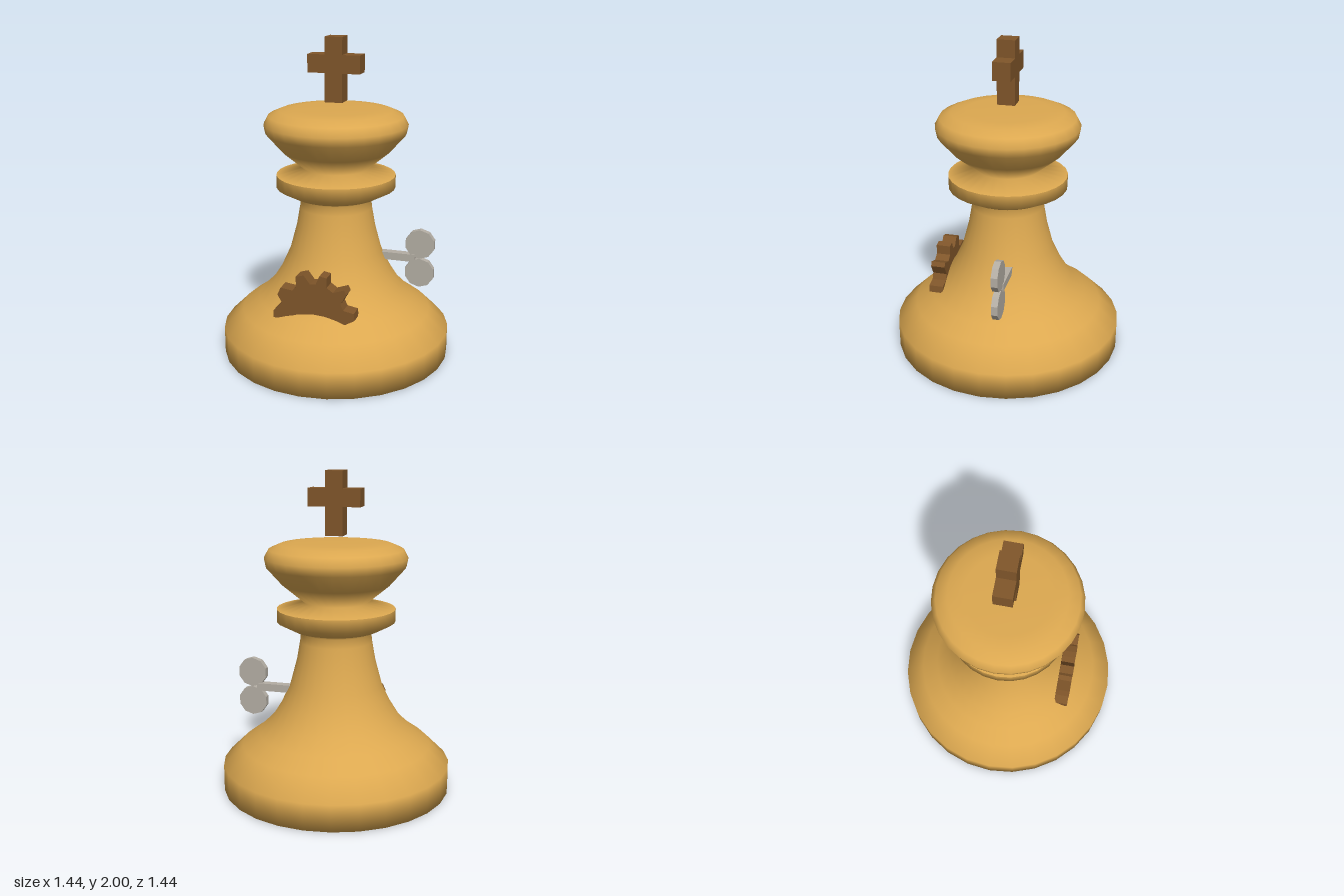
import * as THREE from 'three';

const gold = new THREE.MeshStandardMaterial({ color: 0xdca850 });
const brown = new THREE.MeshStandardMaterial({ color: 0x80562a, flatShading: true });
const steel = new THREE.MeshStandardMaterial({ color: 0xb4aea4, flatShading: true });

function add(parent, name, geometry, material, x = 0, y = 0, z = 0) {
  const mesh = new THREE.Mesh(geometry, material);
  mesh.name = name;
  mesh.position.set(x, y, z);
  parent.add(mesh);
  return mesh;
}

const vectors = (points) => points.map(([x, y]) => new THREE.Vector2(x, y));
const turned = (points) => new THREE.LatheGeometry(vectors(points), 28);
const slab = (points, depth) =>
  new THREE.ExtrudeGeometry(new THREE.Shape(vectors(points)), { depth, bevelEnabled: false });

export function createModel() {
  const model = new THREE.Group();
  model.name = 'windUpChessKing';

  // Turned body: base and neck, collar, head
  add(model, 'body', turned([
    [0, 0], [0.722, 0], [0.722, 0.165], [0.6, 0.285], [0.495, 0.36], [0.41, 0.445],
    [0.345, 0.55], [0.29, 0.67], [0.247, 0.83], [0.226, 0.95], [0.22, 1.005], [0.24, 1.027],
  ]), gold);
  add(model, 'collar', turned([[0.21, 1.027], [0.27, 1.027], [0.37, 1.08], [0.37, 1.158]]), gold);
  add(model, 'head', turned([
    [0.37, 1.158], [0.2, 1.198], [0.335, 1.31], [0.432, 1.42], [0.443, 1.475],
    [0.415, 1.527], [0.345, 1.557], [0.25, 1.568], [0, 1.568],
  ]), gold);

  // Cross hovering above the head
  const a = 0.055, b = 0.163, low = 1.785, high = 1.895;
  add(model, 'cross', slab([
    [-a, 1.61], [a, 1.61], [a, low], [b, low], [b, high], [a, high],
    [a, 2], [-a, 2], [-a, high], [-b, high], [-b, low], [-a, low],
  ], 0.11), brown, 0, 0, -0.055);

  // Half cog on the front: teeth along the top, shallow arc underneath
  add(model, 'cog', slab([
    [-0.235, 0.35], [-0.17, 0.37], [-0.09, 0.39], [0, 0.402], [0.07, 0.397], [0.14, 0.38],
    [0.195, 0.36], [0.255, 0.395], [0.25, 0.438], [0.185, 0.45], [0.168, 0.487], [0.205, 0.553],
    [0.19, 0.58], [0.122, 0.556], [0.083, 0.583], [0.083, 0.643], [0.038, 0.651], [0.016, 0.598],
    [-0.02, 0.592], [-0.06, 0.645], [-0.111, 0.63], [-0.107, 0.566], [-0.133, 0.54],
    [-0.207, 0.55], [-0.228, 0.503], [-0.2, 0.455], [-0.255, 0.397], [-0.255, 0.352],
  ], 0.09), brown, 0, 0, 0.365);

  // Wind-up key: square shaft with two ten-sided discs
  const key = new THREE.Group();
  key.name = 'key';
  key.position.z = -0.07;
  model.add(key);
  add(key, 'keyShaft', new THREE.BoxGeometry(0.23, 0.048, 0.052), steel, 0.385, 0.634, 0);
  for (const side of [1, -1]) {
    const disc = new THREE.CylinderGeometry(0.094, 0.094, 0.04, 10).rotateX(Math.PI / 2);
    add(key, side > 0 ? 'upperKeyDisc' : 'lowerKeyDisc', disc, steel, 0.53, 0.634 + side * 0.094, 0);
  }
  return model;
}
